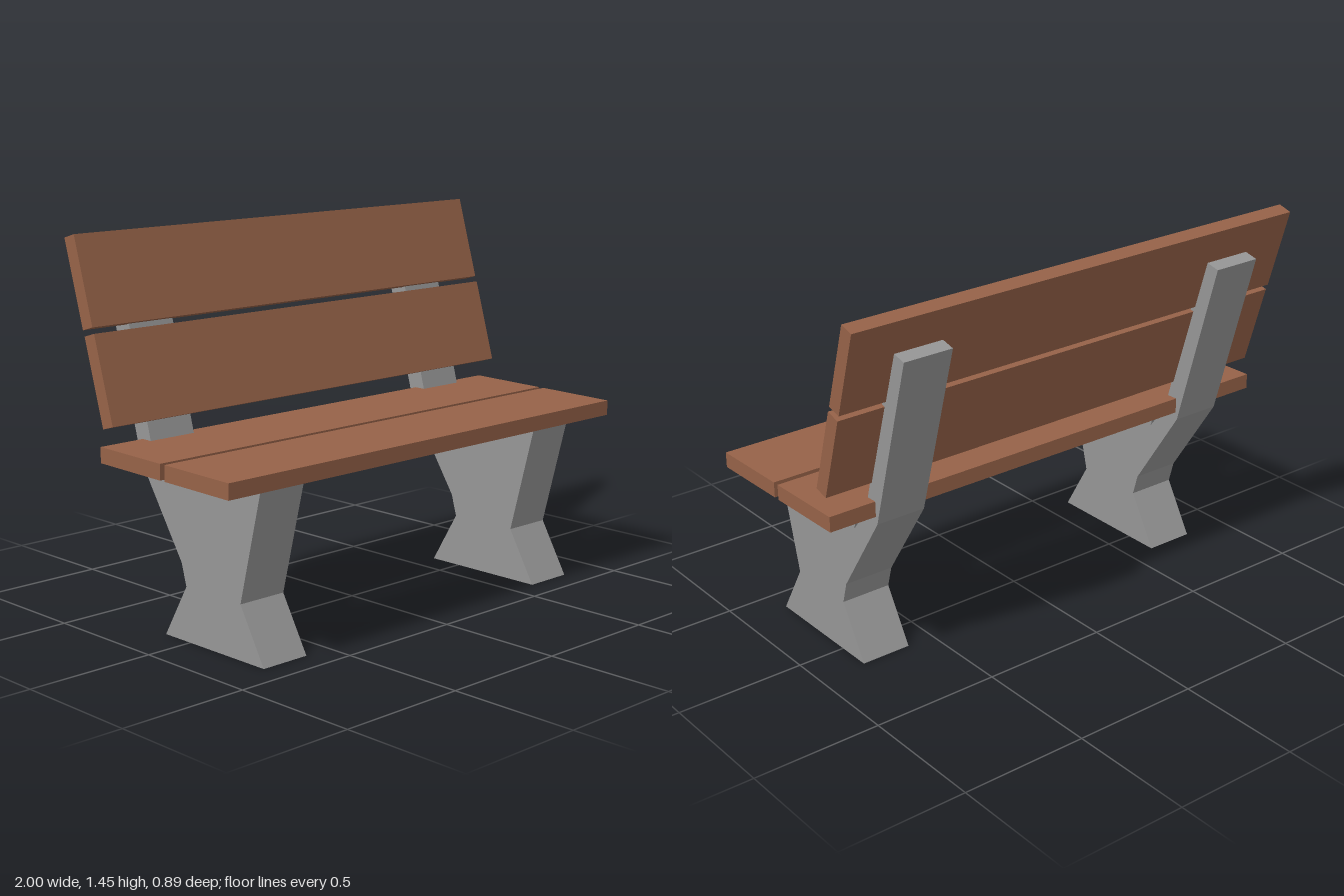
import * as THREE from 'three';

export function createModel() {
  const bench = new THREE.Group();
  bench.name = 'bench';
  const stone = new THREE.MeshStandardMaterial({ color: 0x969696, flatShading: true });
  const wood = new THREE.MeshStandardMaterial({ color: 0x966248, flatShading: true });

  function addBox(name, size, position, tilt = 0) {
    const mesh = new THREE.Mesh(new THREE.BoxGeometry(...size), wood);
    mesh.name = name;
    mesh.position.set(...position);
    mesh.rotation.x = tilt;
    bench.add(mesh);
  }

  // Side profile of a support as [z, y]: foot, waist, seat bearer, notch, backrest arm
  const profile = [
    [0.395, 0], [0.277, 0.205], [0.392, 0.645], [0.392, 0.664], [-0.143, 0.664],
    [-0.108, 0.545], [-0.185, 0.645], [-0.365, 1.312], [-0.442, 1.293],
    [-0.256, 0.622], [-0.04, 0.29], [-0.016, 0.205], [-0.137, 0],
  ];
  const width = 0.2;
  const shape = new THREE.Shape(profile.map(([z, y]) => new THREE.Vector2(-z, y)));
  const supportGeometry = new THREE.ExtrudeGeometry(shape, { depth: width, bevelEnabled: false });
  supportGeometry.translate(0, 0, -width / 2);
  supportGeometry.rotateY(Math.PI / 2); // profile x becomes -z

  for (const [side, x] of [['left', 0.711], ['right', -0.711]]) {
    const support = new THREE.Mesh(supportGeometry, stone);
    support.name = `${side}Support`;
    support.position.x = x;
    bench.add(support);
    // Thin wooden pad under the seat planks
    addBox(`${side}SeatPad`, [width, 0.004, 0.5], [x, 0.664, 0.125]);
  }

  // Seat planks, rising slightly to the rear
  addBox('frontSeatPlank', [2, 0.059, 0.333], [0, 0.67, 0.276], 0.018);
  addBox('rearSeatPlank', [2, 0.059, 0.333], [0, 0.676, -0.081], 0.018);

  // Backrest planks, leaning back
  addBox('lowerBackPlank', [2, 0.333, 0.058], [0, 0.942, -0.248], -0.285);
  addBox('upperBackPlank', [2, 0.333, 0.058], [0, 1.283, -0.35], -0.285);

  return bench;
}
